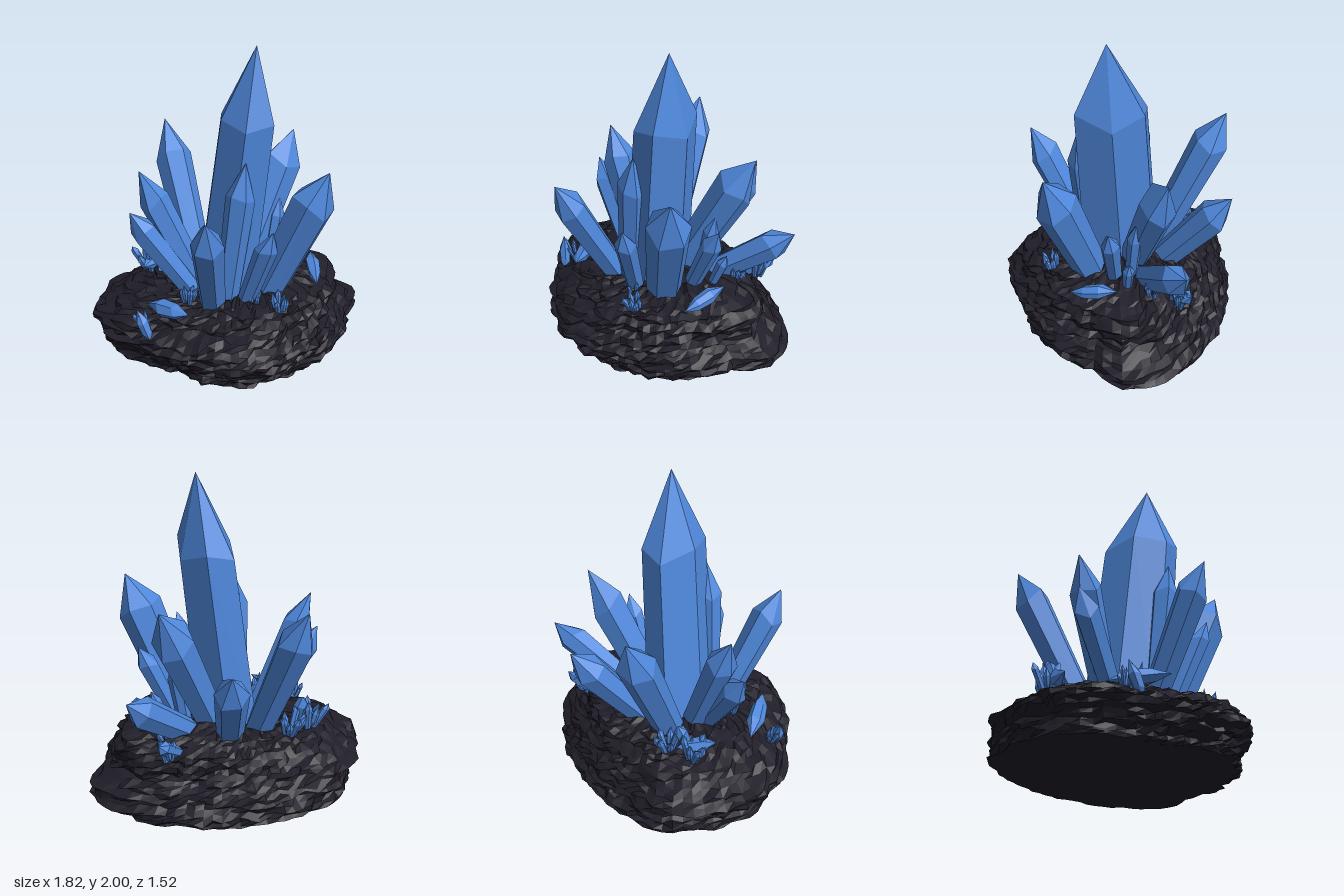
import * as THREE from 'three';

const crystalBlue = new THREE.MeshStandardMaterial({ color: 0x4f88dc });
crystalBlue.name = 'crystal blue';
const darkRock = new THREE.MeshStandardMaterial({ color: 0x201e29 });
darkRock.name = 'dark rock';

// Repeatable pseudo-random value in 0..1 from two numbers
const hash = (a, b) => {
  const s = Math.sin(a * 127.1 + b * 311.7) * 43758.5453;
  return s - Math.floor(s);
};

function flat(geo) {
  const g = geo.index ? geo.toNonIndexed() : geo;
  g.computeVertexNormals();
  return g;
}

// Six-sided shaft with a pointed end, running from base to tip.
// The profile holds [radius factor, length fraction] pairs.
const SHAFT = [[0.78, 0], [1, 0.78], [0, 1]];
const SPINDLE = [[0, 0], [0.85, 0.28], [1, 0.62], [0, 1]];

function crystal(name, base, tip, r, { profile = SHAFT, spin = 0, seed = 1, squash = 0.9 } = {}) {
  const a = new THREE.Vector3(...base), b = new THREE.Vector3(...tip);
  const axis = b.clone().sub(a), len = axis.length();
  const geo = new THREE.LatheGeometry(profile.map(([f, t]) => new THREE.Vector2(f * r, t * len)), 6);
  const p = geo.attributes.position;
  for (let i = 0; i < p.count; i++) {
    const side = Math.floor(i / profile.length) % 6, row = i % profile.length;
    if (row > 0 && row < profile.length - 1) {
      p.setY(i, p.getY(i) + (hash(side, seed) - 0.5) * r * 0.75);   // uneven shoulder
    }
    const k = 0.92 + 0.16 * hash(side + 9, seed);                   // uneven facets
    p.setX(i, p.getX(i) * k);
    p.setZ(i, p.getZ(i) * k * squash);
  }
  geo.rotateY(spin);
  const mesh = new THREE.Mesh(flat(geo), crystalBlue);
  mesh.name = name;
  mesh.position.copy(a);
  mesh.quaternion.setFromUnitVectors(new THREE.Vector3(0, 1, 0), axis.normalize());
  return mesh;
}

// Little fan of spikes growing from one spot
function cluster(name, [x, y, z], size, count, [lx, lz], seed) {
  const g = new THREE.Group();
  g.name = name;
  for (let i = 0; i < count; i++) {
    const t = (i / count) * Math.PI * 2 + seed;
    const spread = size * (0.25 + 0.35 * hash(i, seed));
    const h = size * (0.65 + 0.5 * hash(i + 5, seed));
    const c = Math.cos(t), s = Math.sin(t);
    g.add(crystal('spike', [x + c * size * 0.15, y - 0.03, z + s * size * 0.15],
      [x + c * spread + lx * size, y + h, z + s * spread + lz * size], size * 0.16,
      { seed: seed + i, profile: i % 2 ? SPINDLE : SHAFT }));
  }
  return g;
}

// Craggy base: stacked rings whose radius follows an outline, broken into ledges
function rockBase() {
  // Outer radius every 15 degrees, from +x round by +z
  const outline = [0.79, 0.77, 0.74, 0.73, 0.71, 0.73, 0.755, 0.735, 0.71, 0.69, 0.73, 0.84,
    0.89, 0.87, 0.87, 0.84, 0.765, 0.72, 0.715, 0.72, 0.75, 0.80, 0.87, 0.91];
  // [height, radius factor, change toward +x, change toward +z]
  const keys = [[0, 0.94, -0.01, -0.1], [0.06, 0.96, 0.04, -0.1], [0.13, 0.98, 0, -0.03],
    [0.2, 0.97, -0.08, 0.02], [0.25, 0.9, -0.07, 0.04], [0.33, 0.82, 0.02, 0],
    [0.38, 0.72, 0.05, 0], [0.41, 0.58, 0.05, 0], [0.425, 0.4, 0, 0], [0.43, 0.2, 0, 0]];
  const N = 84, SUB = 3, pos = [], idx = [];
  const rows = (keys.length - 1) * SUB + 1;
  for (let i = 0; i < rows; i++) {
    const k = Math.min(Math.floor(i / SUB), keys.length - 2), f = i / SUB - k;
    const [y, rad, ex, ez] = keys[k].map((v, n) => v + (keys[k + 1][n] - v) * f);
    for (let j = 0; j < N; j++) {
      const t = (j / N) * Math.PI * 2, c = Math.cos(t), s = Math.sin(t);
      const o = (j / N) * 24, o0 = Math.floor(o);
      const edge = outline[o0] + (outline[(o0 + 1) % 24] - outline[o0]) * (o - o0);
      const ledge = (hash(i, Math.floor(j / 4)) - 0.65) * 0.045;
      const lump = (hash(Math.floor(i / 4), Math.floor(j / 3) + 90) - 0.6) * 0.035;
      const chip = (hash(j, i + 40) - 0.6) * 0.035;
      const r = edge * (rad + ex * c + ez * s) + ledge + lump + chip;
      const lift = y > 0.3 ? (y - 0.3) * (0.28 * c - 0.15 * s) : 0;
      const rough = i ? (hash(i + 3, j + 7) - 0.5) * 0.026 : 0;
      pos.push(r * c, Math.max(0, y + lift + rough), r * s);
    }
  }
  const bottom = pos.length / 3, top = bottom + 1;
  pos.push(0, 0, 0, 0, 0.44, 0);
  for (let j = 0; j < N; j++) {
    const n = (j + 1) % N, last = (rows - 1) * N;
    for (let i = 0; i < rows - 1; i++) {
      const a = i * N + j, b = i * N + n;
      idx.push(a, a + N, b, b, a + N, b + N);
    }
    idx.push(bottom, j, n, last + j, top, last + n);
  }
  const geo = new THREE.BufferGeometry();
  geo.setAttribute('position', new THREE.Float32BufferAttribute(pos, 3));
  geo.setIndex(idx);
  const mesh = new THREE.Mesh(flat(geo), darkRock);
  mesh.name = 'rockBase';
  return mesh;
}

export function createModel() {
  const model = new THREE.Group();
  model.name = 'crystalFormation';
  model.add(rockBase());

  // Tall central crystal, wider front to back than side to side
  model.add(crystal('centralCrystal', [-0.05, 0.3, -0.03], [0.14, 2, 0.03], 0.235,
    { profile: [[1.12, 0], [1, 0.735], [0, 1]], spin: Math.PI / 2 + 0.2, seed: 4, squash: 0.7 }));

  // Large crystals fanning out: name, base, tip, radius, spin
  const large = [
    ['frontCrystal', [-0.15, 0.33, 0.2], [-0.24, 1.14, 0.61], 0.11, 0.2],
    ['frontLeftCrystal', [0.18, 0.3, 0.1], [0.54, 1.29, 0.33], 0.147, 0.5],
    ['backLeftCrystal', [0.04, 0.3, -0.1], [0.46, 1.29, -0.39], 0.138, 0.1],
    ['backLeftLowCrystal', [0.2, 0.36, -0.18], [0.69, 0.81, -0.54], 0.1, 0.4],
    ['backRightCrystal', [-0.18, 0.3, -0.2], [-0.37, 1.31, -0.64], 0.12, 0.7],
    ['backCrystal', [0.0, 0.33, -0.26], [0.11, 1.0, -0.74], 0.115, 0.3],
    ['rightCrystal', [-0.2, 0.33, -0.05], [-0.58, 1.2, -0.05], 0.105, 0.6],
    ['rightLowCrystal', [-0.24, 0.33, 0.02], [-0.65, 0.94, 0.0], 0.09, 0.1],
    ['innerFrontCrystal', [-0.06, 0.35, 0.18], [0.05, 1.34, 0.23], 0.095, 0.2],
    ['smallFrontCrystal', [0.05, 0.35, 0.22], [0.19, 0.96, 0.42], 0.075, 0.2],
    ['leftCrystal', [0.27, 0.36, -0.04], [0.53, 0.94, -0.05], 0.068, 0.0],
    ['smallLeftCrystal', [0.37, 0.4, -0.14], [0.48, 0.69, -0.17], 0.04, 0.3],
    ['innerLeftCrystal', [0.25, 0.36, -0.14], [0.34, 0.9, -0.19], 0.055, 0.3],
    ['smallRightCrystal', [-0.44, 0.36, -0.24], [-0.45, 0.62, -0.34], 0.045, 0.3],
    ['smallBackCrystal', [0.36, 0.38, -0.42], [0.51, 0.52, -0.56], 0.045, 0.3],
  ];
  large.forEach(([name, base, tip, r, spin], i) =>
    model.add(crystal(name, base, tip, r, { spin, seed: i + 11 })));

  // Double-pointed crystals lying on the rock
  const lying = [
    [[0.52, 0.45, 0.2], [0.54, 0.52, -0.11], 0.05],
    [[-0.33, 0.43, 0.43], [-0.57, 0.36, 0.14], 0.06],
    [[-0.44, 0.44, -0.34], [-0.57, 0.47, -0.13], 0.055],
    [[-0.56, 0.21, 0.37], [-0.64, 0.43, 0.32], 0.042],
  ];
  lying.forEach(([base, tip, r], i) =>
    model.add(crystal('lyingCrystal', base, tip, r, { profile: SPINDLE, seed: i + 40 })));

  // Small spike clusters: position, size, count, lean in x and z
  const clusters = [
    [[-0.52, 0.4, -0.28], 0.16, 6, [-0.2, 0]],
    [[-0.59, 0.3, 0.28], 0.1, 5, [-0.3, 0.2]],
    [[-0.31, 0.4, 0.19], 0.12, 6, [0, 0.2]],
    [[0.25, 0.39, 0.37], 0.13, 6, [0.05, 0.2]],
    [[0.1, 0.4, 0.28], 0.1, 4, [0, 0.1]],
    [[-0.36, 0.4, -0.36], 0.16, 6, [-0.1, -0.2]],
    [[0.44, 0.4, -0.48], 0.13, 5, [0.2, -0.2]],
    [[0.42, 0.42, -0.3], 0.12, 5, [0.2, 0]],
  ];
  clusters.forEach(([at, size, n, lean], i) =>
    model.add(cluster('spikeCluster', at, size, n, lean, i + 60)));

  return model;
}
